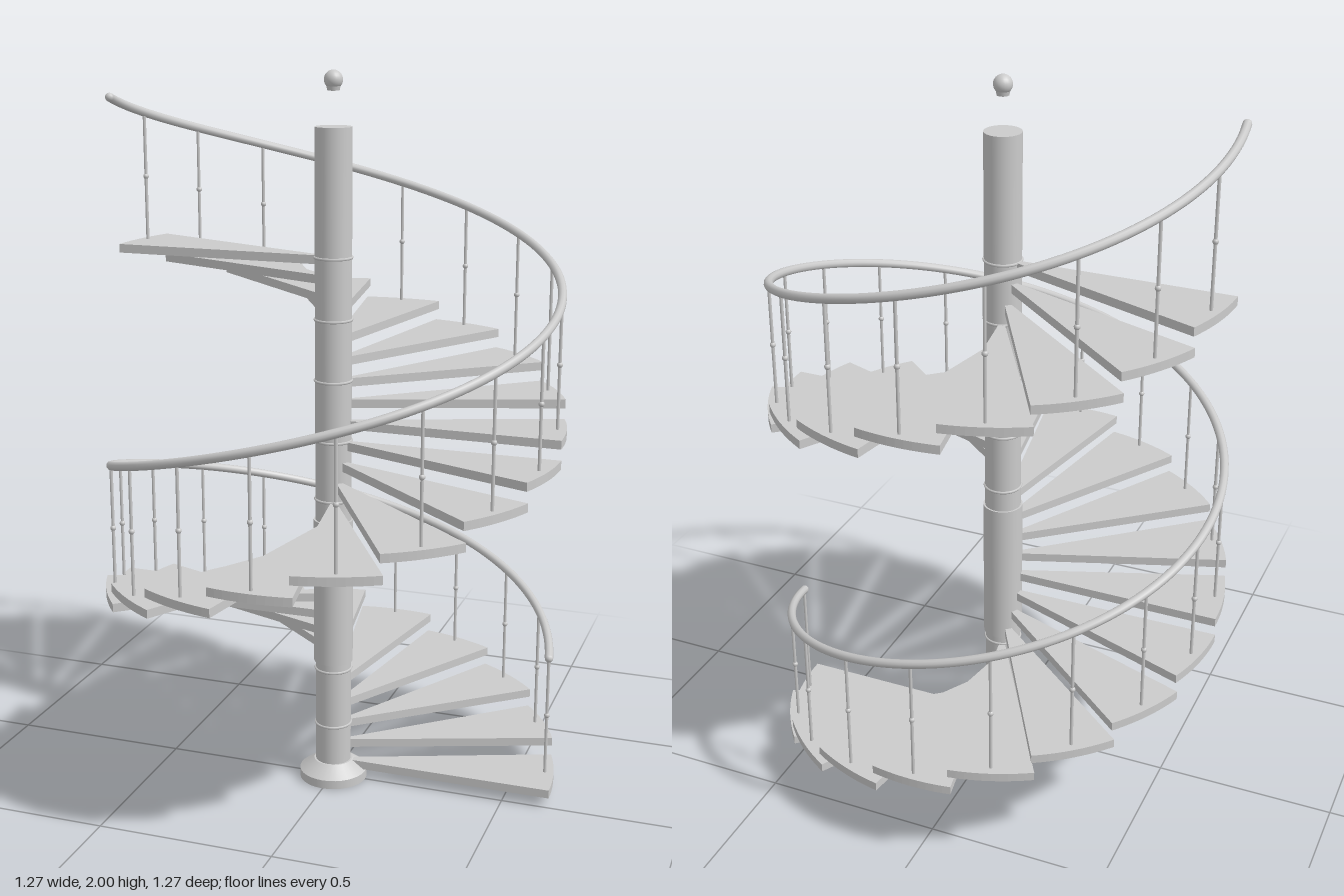
import * as THREE from 'three';

const RAD = Math.PI / 180;
const STEPS = 27, PITCH = 19.95, WIDTH = 20.7, RISE = 0.0562;
const R_OUT = 0.633, R_RAIL = 0.608, POLE_R = 0.05, THICK = 0.024;
const railY = (deg) => 0.402 + (deg - 10) * 0.002825;

// Helical path of the handrail, parameterised by angle
class Helix extends THREE.Curve {
  constructor(from, to) {
    super();
    this.from = from;
    this.to = to;
  }
  getPoint(t, target = new THREE.Vector3()) {
    const deg = this.from + (this.to - this.from) * t, a = deg * RAD;
    return target.set(R_RAIL * Math.cos(a), railY(deg), -R_RAIL * Math.sin(a));
  }
}

export function createModel() {
  const model = new THREE.Group();
  model.name = 'spiralStaircase';
  const material = new THREE.MeshStandardMaterial({ color: 0xcccccc });

  const add = (name, geometry, x = 0, y = 0, z = 0, parent = model) => {
    const mesh = new THREE.Mesh(geometry, material);
    mesh.name = name;
    mesh.position.set(x, y, z);
    parent.add(mesh);
    return mesh;
  };

  // Central pole with its wider sleeve and thin joint rings
  add('pole', new THREE.CylinderGeometry(POLE_R, POLE_R, 1.83, 32), 0, 0.94, 0);
  add('poleSleeve', new THREE.CylinderGeometry(0.055, 0.055, 0.42, 32), 0, 0.57, 0);
  const ring = new THREE.TorusGeometry(POLE_R, 0.004, 6, 32).rotateX(Math.PI / 2);
  for (let i = 1; i <= 9; i++) add('poleRing', ring, 0, i * 0.168, 0);

  // Base: flat disc with a sloping collar
  add('baseDisc', new THREE.CylinderGeometry(0.096, 0.096, 0.025, 32), 0, 0.0125, 0);
  add('baseCollar', new THREE.CylinderGeometry(0.055, 0.096, 0.03, 32), 0, 0.04, 0);

  // Finial above the pole: ball on a short foot
  add('finialBall', new THREE.SphereGeometry(0.025, 20, 14), 0, 1.975, 0);
  add('finialFoot', new THREE.CylinderGeometry(0.02, 0.016, 0.018, 20), 0, 1.956, 0);

  // Wedge-shaped tread, its first edge along +x
  const wedge = new THREE.Shape();
  wedge.absarc(0, 0, R_OUT, 0, WIDTH * RAD, false);
  wedge.absarc(0, 0, POLE_R - 0.003, WIDTH * RAD, 0, true);
  wedge.closePath();
  const tread = new THREE.ExtrudeGeometry(wedge, { depth: THICK, bevelEnabled: false, curveSegments: 5 });
  tread.rotateX(-Math.PI / 2);
  const bead = new THREE.SphereGeometry(0.008, 10, 8);

  // Each step carries one beaded baluster up to the rail
  for (let i = 0; i < STEPS; i++) {
    const step = new THREE.Group();
    step.name = 'step';
    step.rotation.y = i * PITCH * RAD;
    const top = 0.053 + i * RISE;
    add('tread', tread, 0, top - THICK, 0, step);

    const mid = WIDTH / 2;
    const x = R_RAIL * Math.cos(mid * RAD), z = -R_RAIL * Math.sin(mid * RAD);
    const height = railY(i * PITCH + mid) - top;
    add('baluster', new THREE.CylinderGeometry(0.0045, 0.0045, height, 8), x, top + height / 2, z, step);
    add('balusterBead', bead, x, top + height / 2, z, step);
    model.add(step);
  }

  // Handrail with rounded ends
  const path = new Helix(10, 548);
  add('handrail', new THREE.TubeGeometry(path, 200, 0.012, 10, false));
  for (const t of [0, 1]) {
    const p = path.getPoint(t);
    add('handrailEnd', new THREE.SphereGeometry(0.012, 10, 8), p.x, p.y, p.z);
  }
  return model;
}
